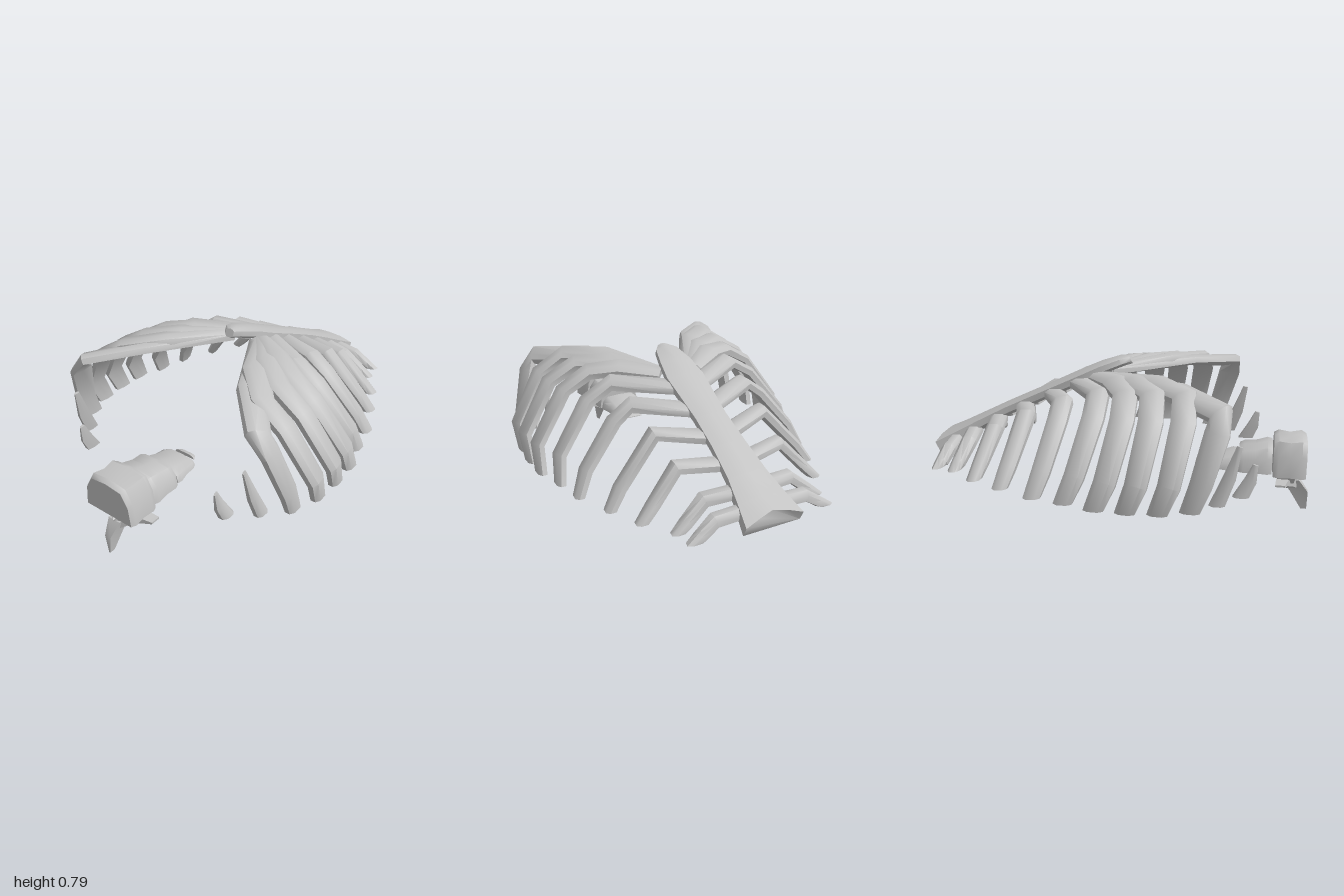
import * as THREE from 'three';
import { toCreasedNormals } from 'three/addons/utils/BufferGeometryUtils.js';

const V = (x, y, z) => new THREE.Vector3(x, y, z);
const lerp = THREE.MathUtils.lerp;
const GROUND = 0.23;

// Skin a closed loft over rings of equal length, with flat end caps
function loft(rings) {
  const n = rings[0].length, pos = [], idx = [];
  rings.forEach(r => r.forEach(p => pos.push(p.x, p.y, p.z)));
  for (let i = 0; i < rings.length - 1; i++) {
    for (let j = 0; j < n; j++) {
      const a = i * n + j, b = i * n + (j + 1) % n;
      idx.push(a, b, b + n, a, b + n, a + n);
    }
  }
  const e = (rings.length - 1) * n;
  for (let j = 1; j < n - 1; j++) idx.push(0, j + 1, j, e, e + j, e + j + 1);
  // Turn the faces outward when the enclosed volume comes out negative
  const at = i => V(pos[3 * i], pos[3 * i + 1], pos[3 * i + 2]);
  let volume = 0;
  for (let i = 0; i < idx.length; i += 3) volume += at(idx[i]).dot(at(idx[i + 1]).cross(at(idx[i + 2])));
  if (volume < 0) idx.reverse();
  const g = new THREE.BufferGeometry();
  g.setAttribute('position', new THREE.Float32BufferAttribute(pos, 3));
  g.setIndex(idx);
  return toCreasedNormals(g, 0.85);
}

// Flattened bone section: u across the width, v through the thickness
const SECTION = [[-0.5, -0.38], [-0.5, 0.12], [-0.25, 0.43], [0.25, 0.43], [0.5, 0.12], [0.5, -0.38], [0, -0.48]];

// Sweep the section along a path of [x, y, z, width, thickness], ending on the ground
function bone(path, side) {
  const pts = path.map(p => V(p[0], p[1], p[2]));
  const rings = path.map(([x, y, , w, h], i) => {
    const t = pts[Math.min(i + 1, pts.length - 1)].clone().sub(pts[Math.max(i - 1, 0)]).normalize();
    const out = V(x, 1.6 * (y - 0.2) + 0.02, 0);
    out.addScaledVector(t, -out.dot(t)).normalize();
    const across = t.clone().cross(out);
    return SECTION.map(([u, v]) => {
      const p = pts[i].clone().addScaledVector(across, u * w).addScaledVector(out, v * h);
      if (i === path.length - 1) p.addScaledVector(t, (GROUND - p.y) / t.y);
      p.x *= side;
      return p;
    });
  });
  return loft(rings);
}

// Four-sided tapered limb through [x, y, z, depth in z, size], running along x or y
function limb(stations, alongX, side) {
  const corners = [[-0.5, -0.5], [0.5, -0.5], [0.5, 0.5], [-0.5, 0.5]];
  return loft(stations.map(([x, y, z, d, s]) => corners.map(([u, v]) =>
    V(side * (alongX ? x : x + v * s), alongX ? y + v * s : y, z + u * d))));
}

// Ribs from back to front: root z, bend x, y, z, foot x, z, outward bulge
const RIBS = [
  [-0.89, 0.24, 0.3, -0.88, 0.345, -0.9, 0],
  [-0.8, 0.23, 0.345, -0.77, 0.37, -0.8, 0],
  [-0.66, 0.28, 0.44, -0.605, 0.475, -0.655, 0],
  [-0.51, 0.3, 0.535, -0.425, 0.555, -0.49, 0.015],
  [-0.35, 0.32, 0.615, -0.23, 0.635, -0.305, 0.04],
  [-0.21, 0.34, 0.67, -0.045, 0.67, -0.145, 0.075],
  [-0.1, 0.4, 0.69, 0.1, 0.715, 0.01, 0.085],
  [-0.09, 0.42, 0.7, 0.23, 0.72, 0.155, 0.095],
  [-0.08, 0.43, 0.705, 0.38, 0.71, 0.3, 0.09],
  [-0.07, 0.535, 0.665, 0.555, 0.66, 0.44, 0.035],
];

function ribPath([rootZ, kx, ky, kz, footX, footZ, bulge], i) {
  const costal = i > 5;
  const width = Math.min(0.12, 0.072 + 0.008 * i);
  const rootX = costal ? 0.09 : 0.05;
  const rootY = Math.min(0.685, 0.75 + 0.4875 * rootZ);
  const path = [[rootX, rootY, rootZ, costal ? 0.1 : width, 0.06]];
  // Front ribs fan out from one root and merge into a plate
  if (costal) {
    path.push([lerp(rootX, kx, 0.55), lerp(rootY, ky, 0.55) + 0.025, lerp(rootZ, kz, 0.55) + 0.015 * (i - 5), width * 1.1, 0.06]);
  }
  path.push([kx, ky, kz, width, 0.062]);
  // Shoulder and elbow swell away from the straight line to the foot
  for (const [f, k] of i < 4 ? [[0.71, 0.85]] : [[0.18, 0.95], [0.71, 0.85]]) {
    path.push([lerp(kx, footX, f) + bulge, lerp(ky, GROUND, f), lerp(kz, footZ, f) + 0.3 * bulge, width * k, 0.056]);
  }
  path.push([footX, GROUND, footZ, width * 0.74, 0.05]);
  return path;
}

// Loose rib tips standing in front of the cage
const FLOATING = [
  [[0.525, 0.51, 0.645, 0.025, 0.015], [0.545, 0.36, 0.605, 0.06, 0.04], [0.56, 0.23, 0.555, 0.07, 0.045]],
  [[0.425, 0.39, 0.72, 0.025, 0.015], [0.43, 0.31, 0.7, 0.06, 0.035], [0.44, 0.23, 0.66, 0.07, 0.05]],
];

// Breastbone stations: z, half width, top y, thickness
const STERNUM = [
  [-1.01, 0.15, 0.315, 0.11], [-0.9, 0.125, 0.365, 0.09], [-0.78, 0.102, 0.425, 0.075], [-0.62, 0.088, 0.505, 0.065],
  [-0.45, 0.083, 0.585, 0.065], [-0.2, 0.1, 0.705, 0.065], [-0.1, 0.085, 0.75, 0.06],
  [0, 0.06, 0.785, 0.055], [0.05, 0.025, 0.79, 0.045],
];

function sternumGeometry() {
  const outline = [[-1, 0.7], [-1, 0.22], [-0.5, 0.05], [0, 0], [0.5, 0.05], [1, 0.22], [1, 0.7], [0.5, 1], [-0.5, 1]];
  return loft(STERNUM.map(([z, w, y, h], i) => outline.map(([u, d]) => {
    const notch = i === 0 ? 0.035 * (1 - Math.abs(u)) : 0;
    return V(u * w, y - d * h * 0.9 + notch * 0.48, z + d * h * 0.42 + notch);
  })));
}

// Domed vertebra body, flat underneath and pinched at the waist
function vertebraGeometry(z0, z1, w0, w1, top0, top1, base) {
  const dome = [[-1, 0], [-0.92, 0.58], [-0.66, 0.94], [0, 1], [0.66, 0.94], [0.92, 0.58], [1, 0]];
  return loft([0, 0.15, 0.5, 0.85, 1].map((t, i) => {
    const k = [0.93, 1, 0.95, 1, 0.93][i];
    const w = lerp(w0, w1, t) * k;
    const h = (lerp(top0, top1, t) - base) * k;
    return dome.map(([u, v]) => V(u * w, base + v * h, lerp(z0, z1, t)));
  }));
}

export function createModel() {
  const material = new THREE.MeshStandardMaterial({ color: 0xc2c2c2 });
  material.name = 'bone grey';
  const model = new THREE.Group();
  model.name = 'ribCage';
  const add = (name, geometry) => {
    const mesh = new THREE.Mesh(geometry, material);
    mesh.name = name;
    model.add(mesh);
  };

  add('breastbone', sternumGeometry());

  for (const side of [1, -1]) {
    const label = side > 0 ? 'left' : 'right';
    RIBS.forEach((rib, i) => add(`${label}Rib${i + 1}`, bone(ribPath(rib, i), side)));
    FLOATING.forEach((path, i) => add(`${label}FloatingRib${i + 1}`, bone(path, side)));
    // Arch of the front vertebra, with its side spur
    add(`${label}Pedicle`, limb([[0.1, 0.24, 0.88, 0.1, 0.06], [0.06, 0.17, 0.88, 0.08, 0.045]], false, side));
    add(`${label}Spur`, limb([[0, 0.14, 0.91, 0.09, 0.06], [0.06, 0.175, 0.88, 0.08, 0.06], [0.11, 0.18, 0.86, 0.06, 0.03], [0.17, 0.185, 0.85, 0.05, 0.01]], true, side));
  }

  // Spine, sinking toward the back
  add('vertebra1', vertebraGeometry(0.41, 0.44, 0.045, 0.065, 0.235, 0.25, GROUND));
  add('vertebra2', vertebraGeometry(0.47, 0.625, 0.1, 0.125, 0.265, 0.305, GROUND));
  add('vertebra3', vertebraGeometry(0.635, 0.805, 0.132, 0.138, 0.335, 0.37, GROUND));
  add('vertebra4', vertebraGeometry(0.81, 0.975, 0.148, 0.15, 0.41, 0.415, 0.22));

  // Blade pointing down from the front vertebra
  add('spinousBlade', limb([[0, 0.17, 0.905, 0.09, 0.07], [0, 0.1, 0.955, 0.09, 0.035], [0, 0, 0.985, 0.03, 0.008]], false, 1));
  return model;
}
